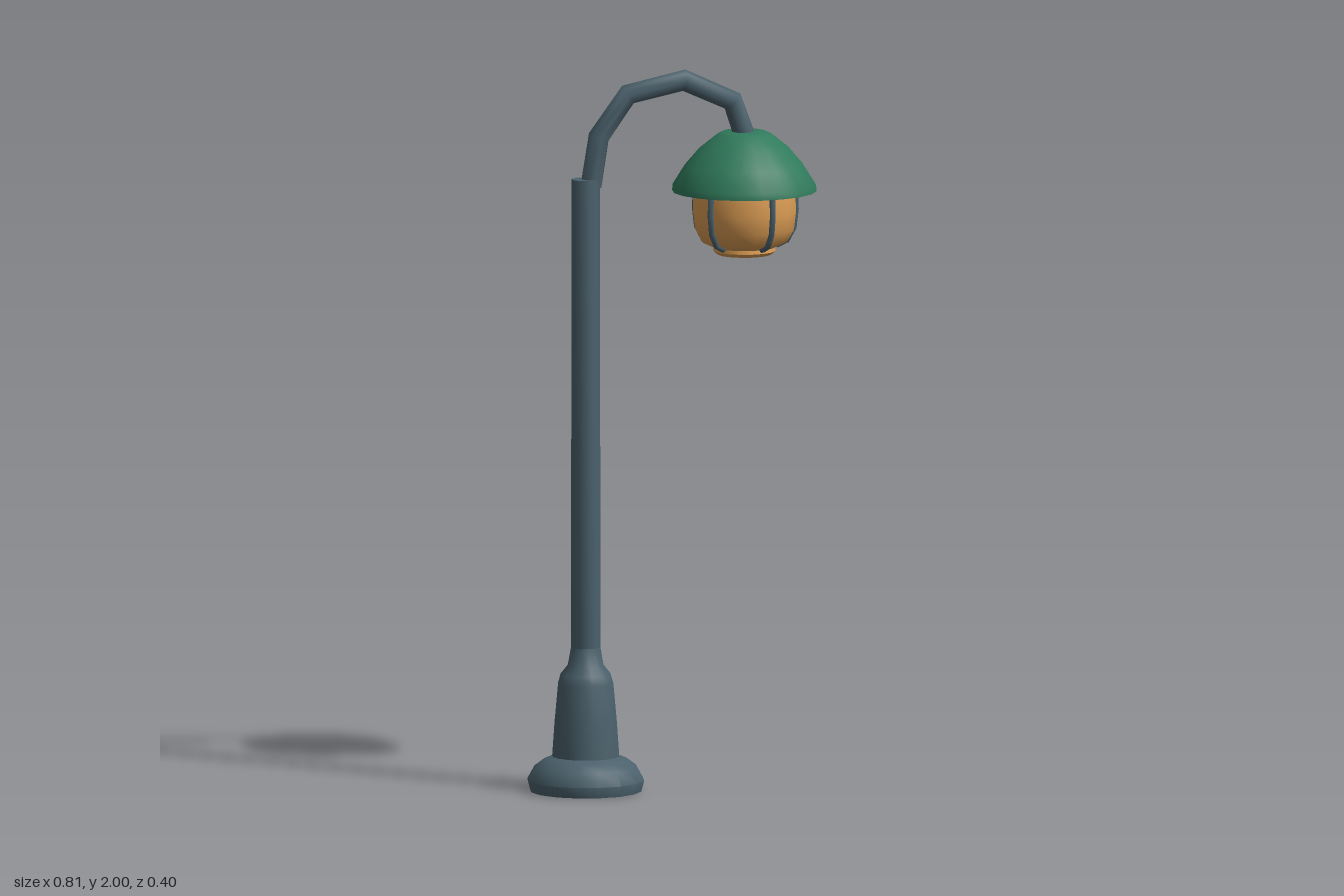
import * as THREE from 'three';
import { toCreasedNormals } from 'three/addons/utils/BufferGeometryUtils.js';

const POST_X = -0.245;
const LAMP_X = 0.207;

function material(name, color) {
  const m = new THREE.MeshStandardMaterial({ color });
  m.name = name;
  return m;
}

// Turned part from [radius, height] pairs, listed from bottom to top outside
function turned(name, profile, sides, mat, x) {
  const points = profile.map(([r, y]) => new THREE.Vector2(r, y));
  const geometry = toCreasedNormals(new THREE.LatheGeometry(points, sides), 0.8);
  const mesh = new THREE.Mesh(geometry, mat);
  mesh.name = name;
  mesh.position.x = x;
  return mesh;
}

// Tube with one ring at each of the given points
function bentTube(name, points, radius, sides, mat) {
  const curve = new THREE.CatmullRomCurve3(points);
  curve.getPointAt = (t, target) => curve.getPoint(t, target);
  curve.getTangentAt = (t, target) => curve.getTangent(t, target);
  const geometry = new THREE.TubeGeometry(curve, points.length - 1, radius, sides);
  const mesh = new THREE.Mesh(geometry, mat);
  mesh.name = name;
  return mesh;
}

export function createModel() {
  const iron = material('slate iron', 0x4b616c);
  const green = material('green enamel', 0x307a5c);
  const amber = material('amber glass', 0xdc9d54);
  const group = new THREE.Group();
  group.name = 'streetLamp';

  // Foot, tapered plinth and post
  group.add(turned('foot', [
    [0, 0], [0.155, 0], [0.163, 0.03], [0.143, 0.067], [0.115, 0.088], [0.085, 0.1], [0, 0.1],
  ], 16, iron, POST_X));
  group.add(turned('plinth', [
    [0.094, 0.09], [0.087, 0.19], [0.077, 0.3], [0.07, 0.325], [0.05, 0.35], [0.041, 0.4],
  ], 16, iron, POST_X));
  group.add(turned('post', [
    [0.041, 0.36], [0.039, 1.705], [0, 1.705],
  ], 10, iron, POST_X));

  // Curved arm from the post to the lamp
  const armPath = [
    [-0.23, 1.685], [-0.208, 1.822], [-0.125, 1.937], [0.035, 1.971], [0.173, 1.908], [0.211, 1.8],
  ].map(([x, y]) => new THREE.Vector3(x, y, 0));
  group.add(bentTube('arm', armPath, 0.03, 8, iron));

  // Hollow shade
  group.add(turned('shade', [
    [0, 1.79], [0.07, 1.79], [0.14, 1.725], [0.185, 1.657], [0.2, 1.657],
    [0.198, 1.675], [0.165, 1.728], [0.125, 1.775], [0.075, 1.815], [0.06, 1.822], [0, 1.822],
  ], 20, green, LAMP_X));

  // Glass globe and its bottom collar
  group.add(turned('globe', [
    [0, 1.5], [0.085, 1.5], [0.118, 1.515], [0.138, 1.55], [0.144, 1.6], [0.142, 1.66], [0.125, 1.73],
  ], 16, amber, LAMP_X));
  group.add(turned('globeCollar', [
    [0, 1.48], [0.075, 1.48], [0.087, 1.49], [0.085, 1.503], [0, 1.503],
  ], 16, amber, LAMP_X));

  // Five cage ribs around the globe
  const ribPath = [
    [0.09, 1.502], [0.12, 1.515], [0.14, 1.55], [0.146, 1.6], [0.144, 1.66], [0.128, 1.72],
  ].map(([x, y]) => new THREE.Vector3(x, y, 0));
  for (let i = 0; i < 5; i++) {
    const rib = bentTube('cageRib', ribPath, 0.009, 6, iron);
    rib.position.x = LAMP_X;
    rib.rotation.y = (i * Math.PI * 2) / 5;
    group.add(rib);
  }
  return group;
}
